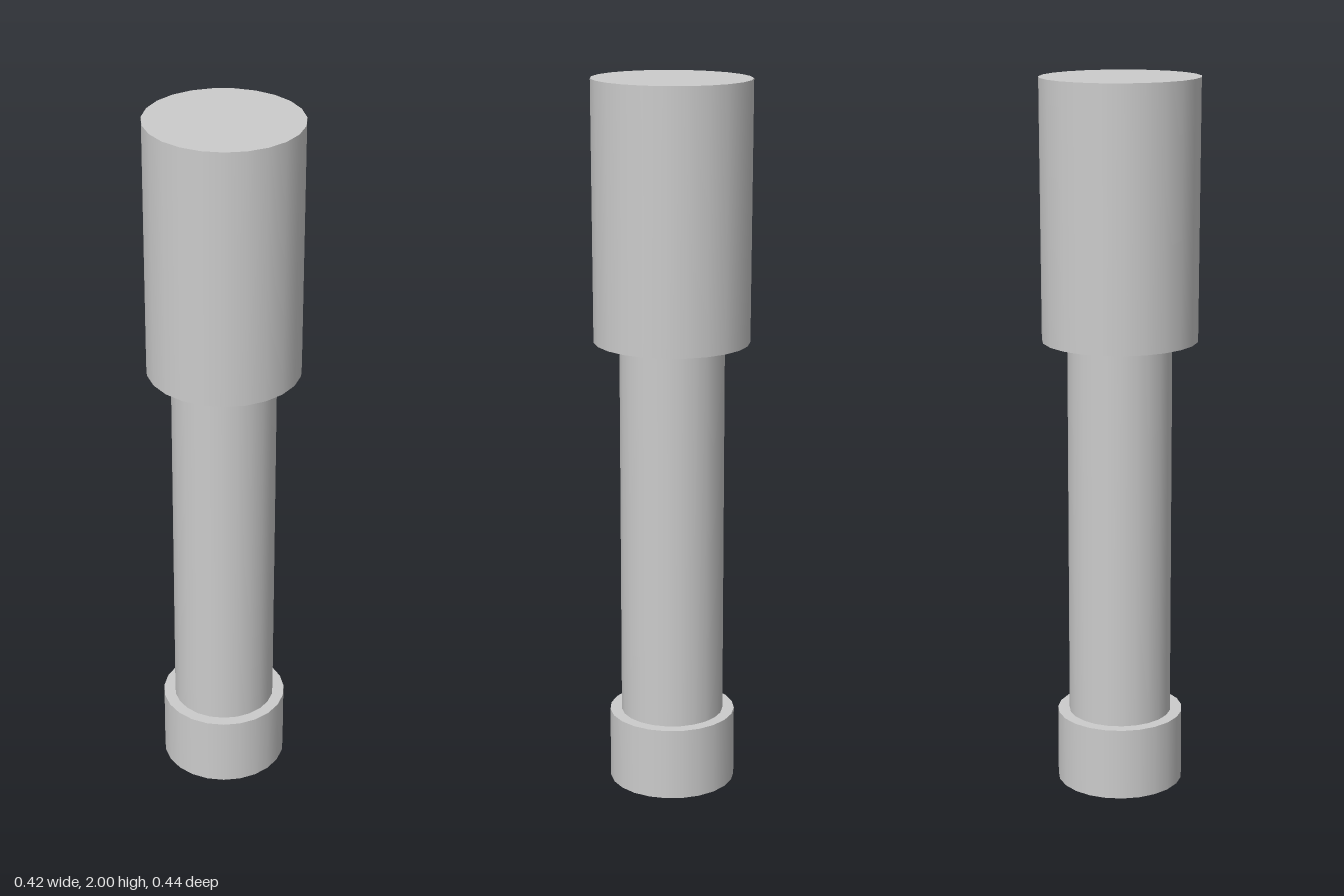
import * as THREE from 'three';

const SIDES = 23;
const material = new THREE.MeshStandardMaterial({ color: 0xcccccc });

// Upright capped cylinder between two heights, with one vertex facing the back
function column(name, radius, bottom, top) {
  const geometry = new THREE.CylinderGeometry(radius, radius, top - bottom, SIDES, 1, false, Math.PI);
  geometry.translate(0, (bottom + top) / 2, 0);
  const mesh = new THREE.Mesh(geometry, material);
  mesh.name = name;
  return mesh;
}

export function createModel() {
  const group = new THREE.Group();
  group.name = 'mallet';

  // Wide foot at the end of the handle
  group.add(column('endCap', 0.178, 0, 0.205));

  // Slim handle
  group.add(column('handle', 0.145, 0.205, 1.285));

  // Heavy head, slightly deeper than wide and a touch deeper at the top
  const head = column('head', 0.212, 1.285, 2);
  const p = head.geometry.attributes.position;
  for (let i = 0; i < p.count; i++) {
    const depth = p.getY(i) > 1.6 ? 0.221 : 0.217;
    p.setZ(i, p.getZ(i) * depth / 0.212 + 0.001);
  }
  group.add(head);

  return group;
}
